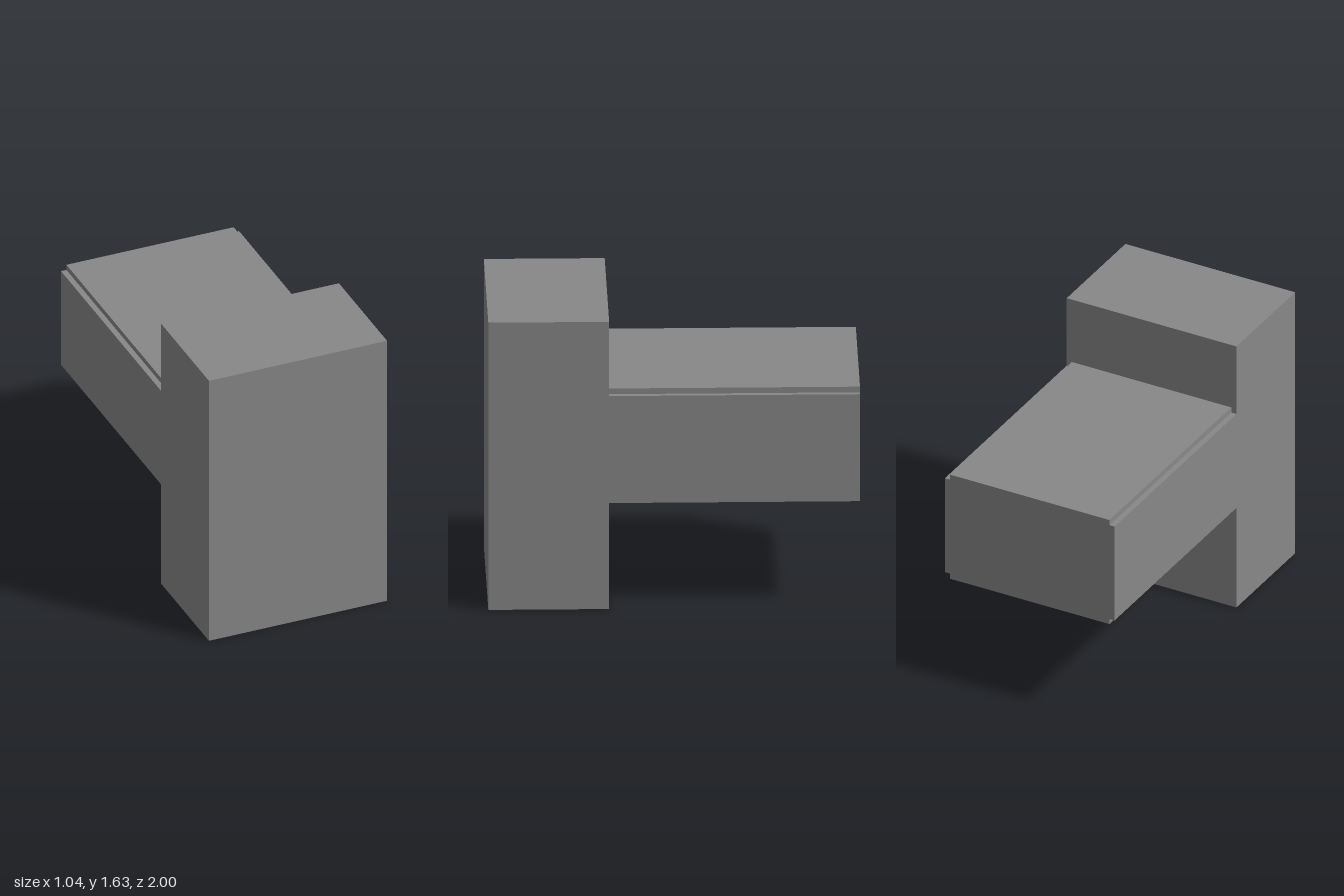
import * as THREE from 'three';

const material = new THREE.MeshStandardMaterial({ color: 0x888888, flatShading: true });

// Rectangle outline with a small square step cut from each corner
function steppedRectangle(halfW, halfH, step) {
  const w = halfW - step, h = halfH - step;
  return new THREE.Shape([
    [halfW, -h], [halfW, h], [w, h], [w, halfH],
    [-w, halfH], [-w, h], [-halfW, h], [-halfW, -h],
    [-w, -h], [-w, -halfH], [w, -halfH], [w, -h],
  ].map(([x, y]) => new THREE.Vector2(x, y)));
}

export function createModel() {
  const group = new THREE.Group();
  const halfWidth = 0.522, height = 1.635, jointZ = 0.35;

  // Upright block at the front
  const depth = 1 - jointZ;
  const block = new THREE.Mesh(new THREE.BoxGeometry(halfWidth * 2, height, depth), material);
  block.name = 'frontBlock';
  block.position.set(0, height / 2, jointZ + depth / 2);
  group.add(block);

  // Beam running back from the block, with stepped long edges
  const beam = new THREE.Mesh(
    new THREE.ExtrudeGeometry(steppedRectangle(halfWidth, 0.326, 0.032), {
      depth: jointZ + 1, bevelEnabled: false,
    }),
    material
  );
  beam.name = 'rearBeam';
  beam.position.set(0, 0.918, -1);
  group.add(beam);

  return group;
}
